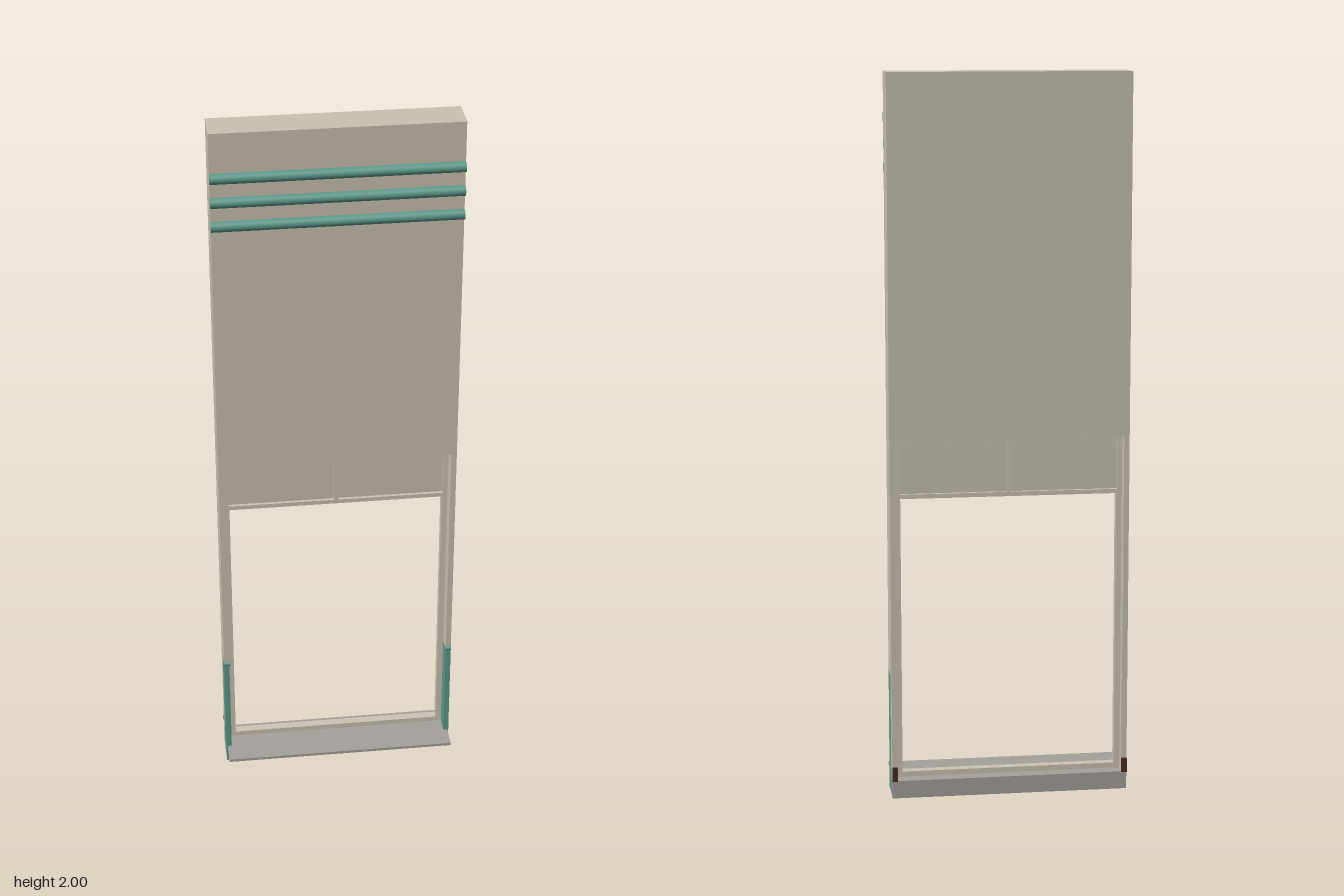
import * as THREE from 'three';

const mat = (name, color) => {
  const m = new THREE.MeshStandardMaterial({ color });
  m.name = name;
  return m;
};

export function createModel() {
  const beige = mat('beige plaster', 0xcac2b2);
  const frameCol = mat('window frame', 0xcdc4b4);
  const teal = mat('teal trim', 0x5d9a8b);
  const grey = mat('grey stone', 0xa5a09c);
  const brown = mat('dark brown', 0x4a2a22);

  const model = new THREE.Group();
  model.name = 'wallSectionWithWindow';

  // Box given by its limits on each axis
  const box = (name, m, x0, x1, y0, y1, z0, z1, parent = model) => {
    const mesh = new THREE.Mesh(new THREE.BoxGeometry(x1 - x0, y1 - y0, z1 - z0), m);
    mesh.position.set((x0 + x1) / 2, (y0 + y1) / 2, (z0 + z1) / 2);
    mesh.name = name;
    parent.add(mesh);
    return mesh;
  };

  // Rounded strip lying on the wall face, running along x
  const strip = (name, x0, x1, y, r, z0, zc) => {
    const s = new THREE.Shape();
    s.moveTo(-z0, -r);
    s.lineTo(-z0, r);
    s.lineTo(-zc, r);
    s.absarc(-zc, 0, r, Math.PI / 2, Math.PI * 1.5, false);
    const g = new THREE.ExtrudeGeometry(s, { depth: x1 - x0, bevelEnabled: false, curveSegments: 10 });
    g.rotateY(Math.PI / 2);
    const mesh = new THREE.Mesh(g, teal);
    mesh.position.set(x0, y, 0);
    mesh.name = name;
    model.add(mesh);
  };

  // Upper wall and the three mouldings
  const W = 0.33, IN = 0.315, F = 0.02, B = -0.08, MID = -0.04;
  box('upperWall', beige, -W, W, 1.01, 2, B, F);
  [1.877, 1.81, 1.743].forEach((y) => strip('moulding', -W, W, y, 0.014, 0.018, 0.023));

  // Side jambs with teal lower fronts, caps and back brackets
  for (const s of [-1, 1]) {
    const side = (name, m, a, b, ...r) => box(name, m, Math.min(s * a, s * b), Math.max(s * a, s * b), ...r);
    side('jambUpper', beige, IN, W, 0.345, 1.01, B, F);
    side('jambLowerBack', beige, IN, W, 0.05, 0.345, B, MID);
    side('jambLowerFront', teal, IN, W, 0.045, 0.345, MID, F);
    strip('jambCap', s > 0 ? 0.313 : -W, s > 0 ? W : -0.313, 0.352, 0.007, 0.016, 0.02);
    side('backBracket', brown, IN, W, 0.05, 0.09, -0.087, B);
  }

  // Base: teal plinth in front, grey block behind, projecting sill
  box('plinth', teal, -W, W, 0, 0.045, MID, F);
  box('baseBack', grey, -W, W, 0, 0.05, B, MID);
  box('sill', grey, -0.327, 0.327, 0.044, 0.052, F, 0.085);
  box('sillInner', grey, -IN, IN, 0.044, 0.052, MID, F);

  // Window frame with three openings cut through it
  const rect = (P, x0, x1, y0, y1) => {
    const p = new P();
    p.moveTo(x0, y0);
    p.lineTo(x1, y0);
    p.lineTo(x1, y1);
    p.lineTo(x0, y1);
    p.closePath();
    return p;
  };
  const outline = rect(THREE.Shape, -IN, IN, 0.052, 1.01);
  outline.holes.push(
    rect(THREE.Path, -0.299, 0.299, 0.067, 0.846),
    rect(THREE.Path, -0.301, -0.006, 0.858, 0.998),
    rect(THREE.Path, 0.006, 0.301, 0.858, 0.998)
  );
  const frame = new THREE.Mesh(
    new THREE.ExtrudeGeometry(outline, { depth: 0.024, bevelEnabled: false }), frameCol);
  frame.position.z = -0.05;
  frame.name = 'windowFrame';
  model.add(frame);

  // Blind panels filling the transom
  for (const s of [-1, 1]) {
    const c = s * 0.1535;
    box('transomPanel', beige, c - 0.1475, c + 0.1475, 0.858, 0.998, -0.041, -0.035);
  }

  return model;
}
